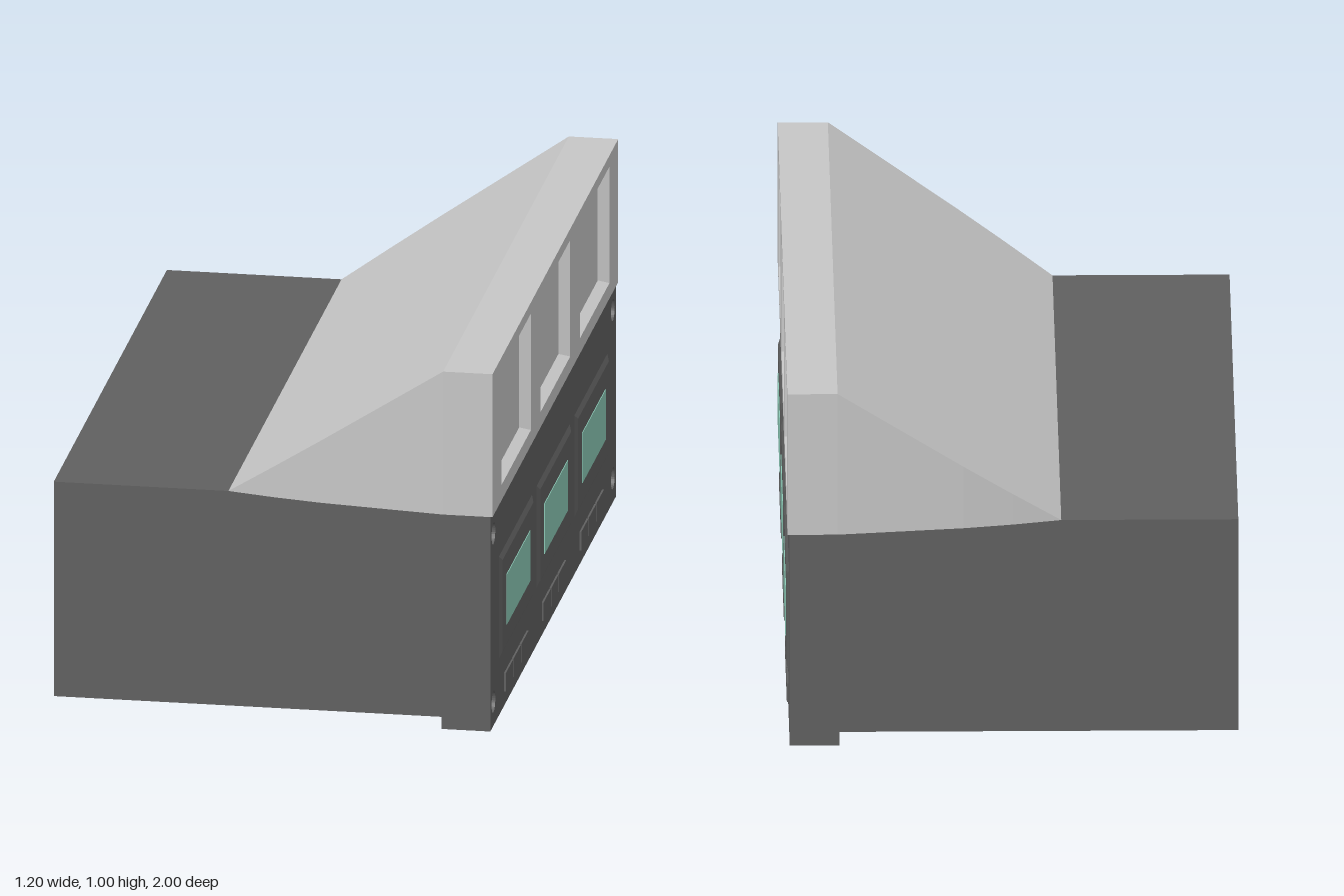
import * as THREE from 'three';

const material = (name, color) => {
  const m = new THREE.MeshStandardMaterial({ color });
  m.name = name;
  return m;
};

// Flat-faced geometry from a list of four-cornered faces
function quads(faces) {
  const pos = [];
  for (const [a, b, c, d] of faces) pos.push(...a, ...b, ...c, ...a, ...c, ...d);
  const g = new THREE.BufferGeometry();
  g.setAttribute('position', new THREE.Float32BufferAttribute(pos, 3));
  g.computeVertexNormals();
  return g;
}

// Rectangle corners, counter-clockwise, at depth z
const rect = (cx, cy, w, h, z) =>
  [[-1, -1], [1, -1], [1, 1], [-1, 1]].map(([i, j]) => [cx + i * w / 2, cy + j * h / 2, z]);

// Sloped border between two rectangles, closed by the inner one
function bevelPanel(outer, inner) {
  const faces = outer.map((p, i) => {
    const n = (i + 1) % 4;
    return [p, outer[n], inner[n], inner[i]];
  });
  return quads([...faces, inner]);
}

const rectPath = (cx, cy, w, h, Type) =>
  new Type(rect(cx, cy, w, h, 0).map(([x, y]) => new THREE.Vector2(x, y)));

export function createModel() {
  const model = new THREE.Group();
  const dark = material('dark grey', 0x606060);
  const light = material('light grey', 0xc6c6c6);
  const teal = material('screen green', 0x8bc9b6);

  const add = (parent, name, geometry, mat, x = 0, y = 0, z = 0) => {
    const mesh = new THREE.Mesh(geometry, mat);
    mesh.name = name;
    mesh.position.set(x, y, z);
    parent.add(mesh);
    return mesh;
  };

  // Main housing
  add(model, 'housing', new THREE.BoxGeometry(1.06, 0.6, 1.8), dark, -0.07, 0.3, 0);

  // Hood: sloped sections that widen towards the panel side
  const sections = [[-0.13, 0.9], [0, 0.932], [0.13, 0.957], [0.3, 0.979], [0.465, 1], [0.598, 1]]
    .map(([x, w]) => {
      const y = Math.min(1, 0.6 + (x + 0.13) * 0.4 / 0.595);
      return [[x, 0.6, w], [x, y, w], [x, y, -w], [x, 0.6, -w]];
    });
  const hoodFaces = [];
  for (let i = 0; i < sections.length - 1; i++) {
    for (let k = 0; k < 4; k++) {
      const n = (k + 1) % 4;
      hoodFaces.push([sections[i][k], sections[i + 1][k], sections[i + 1][n], sections[i][n]]);
    }
  }
  add(model, 'hood', quads(hoodFaces), light);

  // Panel side, built facing +z and then turned to face +x
  const panel = new THREE.Group();
  panel.name = 'controlPanel';
  panel.rotation.y = Math.PI / 2;
  model.add(panel);

  // Face plate with four screw holes
  const plate = rectPath(0, 0.3, 2, 0.6, THREE.Shape);
  for (const x of [-0.95, 0.95]) {
    for (const y of [0.067, 0.538]) {
      plate.holes.push(new THREE.Path().absarc(x, y, 0.03, 0, Math.PI * 2, true));
    }
  }
  add(panel, 'facePlate', new THREE.ExtrudeGeometry(plate,
    { depth: 0.132, bevelEnabled: false, curveSegments: 16 }), dark, 0, 0, 0.46);

  // Hood front with three recessed panels
  const front = rectPath(0, 0.8, 2, 0.4, THREE.Shape);
  for (const x of [-0.625, 0, 0.625]) {
    front.holes.push(rectPath(x, 0.806, 0.472, 0.326, THREE.Path));
    add(panel, 'recess', bevelPanel(
      rect(x, 0.806, 0.472, 0.326, 0.598),
      rect(x, 0.806, 0.452, 0.308, 0.568)), light);
  }
  add(panel, 'hoodFront', new THREE.ShapeGeometry(front), light, 0, 0, 0.598);

  // Three control units: bezel, screen and a row of buttons
  for (const x of [-0.6, 0, 0.6]) {
    add(panel, 'bezel', bevelPanel(
      rect(x, 0.302, 0.526, 0.285, 0.592),
      rect(x, 0.302, 0.49, 0.255, 0.599)), dark);
    add(panel, 'screen', new THREE.BoxGeometry(0.372, 0.14, 0.004), teal, x, 0.3, 0.599);
    for (const i of [-1, 0, 1]) {
      add(panel, 'button', new THREE.BoxGeometry(0.115, 0.052, 0.012), dark, x + i * 0.123, 0.066, 0.591);
    }
  }
  return model;
}
